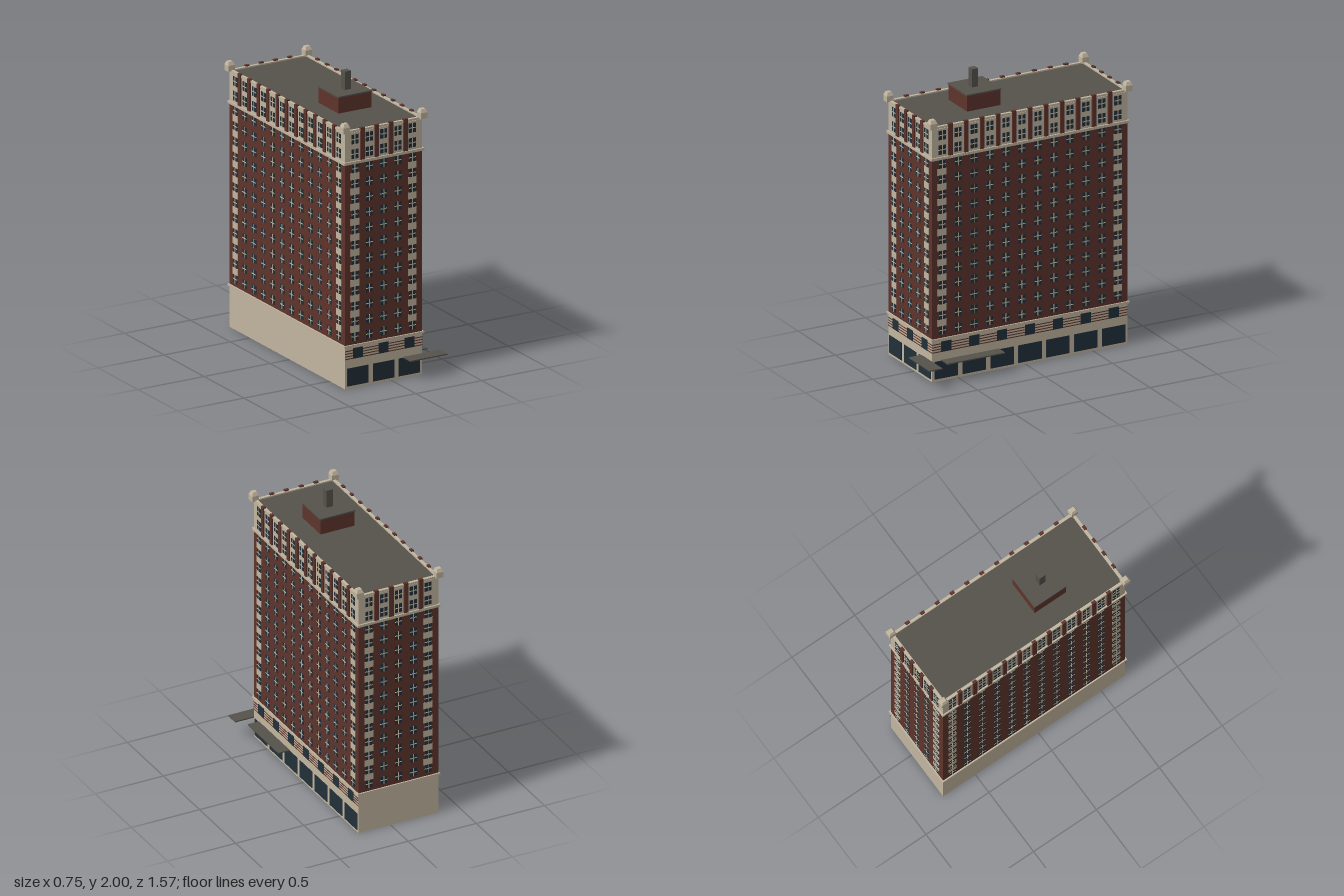
import * as THREE from 'three';
import { mergeGeometries } from 'three/addons/utils/BufferGeometryUtils.js';

const mat = (name, color) => {
  const m = new THREE.MeshStandardMaterial({ color });
  m.name = name;
  return m;
};

// Main block
const W = 0.585, D = 1.447, CX = -0.0575, CZ = -0.0335;
const BASE = 0.29, SHAFT = 1.54, ROOF = 1.76;
const ROWS = Array.from({ length: 12 }, (_, i) => 0.35 + i * 0.1048);
const CROWN_ROWS = [1.603, 1.704];

export function createModel() {
  const brick = mat('brick', 0x5e342c);
  const stone = mat('stone', 0xc2b69f);
  const glass = mat('glass', 0x22303a);
  const slate = mat('slate', 0x56534c);
  const model = new THREE.Group();
  model.name = 'hotelTower';

  const box = (w, h, d, x, y, z) => new THREE.BoxGeometry(w, h, d).translate(x, y, z);
  const add = (parent, name, material, geos) => {
    const mesh = new THREE.Mesh(mergeGeometries([].concat(geos)), material);
    mesh.name = name;
    parent.add(mesh);
    return mesh;
  };
  const spread = (n, pitch) => Array.from({ length: n }, (_, i) => (i - (n - 1) / 2) * pitch);
  // Thin plate on a facade: u across, y up, t thick, standing on the wall plane
  const plate = (w, h, t, u, y) => box(w, h, t, u, y, t / 2);

  // One wall side, built facing +z with its surface at z = 0
  function facade(name, width, cols, pitch, shops) {
    const g = new THREE.Group();
    g.name = name;
    const us = spread(cols, pitch);
    const panes = [], bars = [], quoins = [], piers = [];
    for (const u of us) {
      for (const y of [...ROWS, ...CROWN_ROWS]) {
        const h = y > SHAFT ? 0.064 : 0.058, w = y > SHAFT ? 0.052 : 0.05;
        panes.push(plate(w, h, 0.003, u, y));
        bars.push(plate(0.006, h, 0.005, u, y), plate(w, 0.006, 0.005, u, y));
      }
    }
    // Pale panels between the windows of the end columns
    for (const u of [us[0], us[cols - 1]])
      for (let i = 0; i < 11; i++) quoins.push(plate(0.064, 0.048, 0.003, u, ROWS[i] + 0.0524));
    // Brick piers between the crown windows
    for (const u of spread(cols - 1, pitch)) piers.push(box(0.03, 0.22, 0.02, u, 1.666, 0));

    add(g, 'windowPanes', glass, panes);
    add(g, 'windowBars', stone, bars);
    add(g, 'quoinPanels', stone, quoins);
    add(g, 'crownPiers', brick, piers);
    add(g, 'baseWall', stone, box(width, BASE, 0.006, 0, BASE / 2, -0.003));
    add(g, 'ledges', stone, [
      plate(width + 0.02, 0.014, 0.01, 0, 0.29),
      plate(width + 0.02, 0.018, 0.01, 0, 1.545),
    ]);
    add(g, 'parapet', stone, box(width + 0.006, 0.014, 0.02, 0, ROOF, -0.007));

    // Street sides carry shop fronts, small windows and brick courses
    if (shops) {
      const bay = width / shops, fronts = [], small = [];
      for (const u of spread(shops, bay)) {
        fronts.push(plate(bay - 0.034, 0.122, 0.004, u, 0.078));
        small.push(plate(0.074, 0.072, 0.004, u, 0.236));
      }
      add(g, 'shopWindows', glass, fronts);
      add(g, 'mezzanineWindows', glass, small);
      add(g, 'brickCourses', brick,
        [0.203, 0.221, 0.239, 0.257].map((y) => plate(width, 0.006, 0.002, 0, y)));
    }
    model.add(g);
    return g;
  }

  const place = (g, x, z, ry) => {
    g.position.set(x, 0, z);
    g.rotation.y = ry;
  };
  place(facade('frontFacade', W, 5, 0.1085, 3), CX, CZ + D / 2, 0);
  place(facade('backFacade', W, 5, 0.1085, 0), CX, CZ - D / 2, Math.PI);
  place(facade('leftFacade', D, 12, 0.1183, 7), CX + W / 2, CZ, Math.PI / 2);
  place(facade('rightFacade', D, 12, 0.1183, 0), CX - W / 2, CZ, -Math.PI / 2);

  // Solid floors: the base below is an open shell
  add(model, 'shaft', brick, box(W, SHAFT - BASE, D, CX, (SHAFT + BASE) / 2, CZ));
  add(model, 'crown', stone, box(W, 0.21, D, CX, SHAFT + 0.105, CZ));
  add(model, 'roof', slate, box(W - 0.01, 0.008, D - 0.01, CX, 1.754, CZ));

  // Corner finials
  const finials = [];
  for (const sx of [-1, 1]) for (const sz of [-1, 1]) {
    const x = CX + sx * W / 2, z = CZ + sz * D / 2;
    const cap = new THREE.CylinderGeometry(0.03 * Math.SQRT1_2, 0.05 * Math.SQRT1_2, 0.025, 4)
      .rotateY(Math.PI / 4).translate(x, 1.812, z).toNonIndexed();
    cap.computeVertexNormals();
    finials.push(box(0.05, 0.04, 0.05, x, 1.78, z).toNonIndexed(), cap);
  }
  add(model, 'cornerFinials', stone, finials);

  // Rooftop house and chimney
  add(model, 'penthouse', brick, box(0.25, 0.11, 0.25, -0.06, 1.81, 0.213));
  add(model, 'penthouseRoof', slate, box(0.256, 0.01, 0.256, -0.06, 1.869, 0.213));
  add(model, 'chimney', slate, box(0.047, 0.13, 0.047, -0.06, 1.935, 0.223));

  // Street canopies
  add(model, 'frontCanopy', slate, box(0.28, 0.008, 0.093, 0.232, 0.14, 0.7365));
  add(model, 'sideCanopy', slate, box(0.083, 0.008, 0.425, 0.2755, 0.14, 0.4075));
  return model;
}
